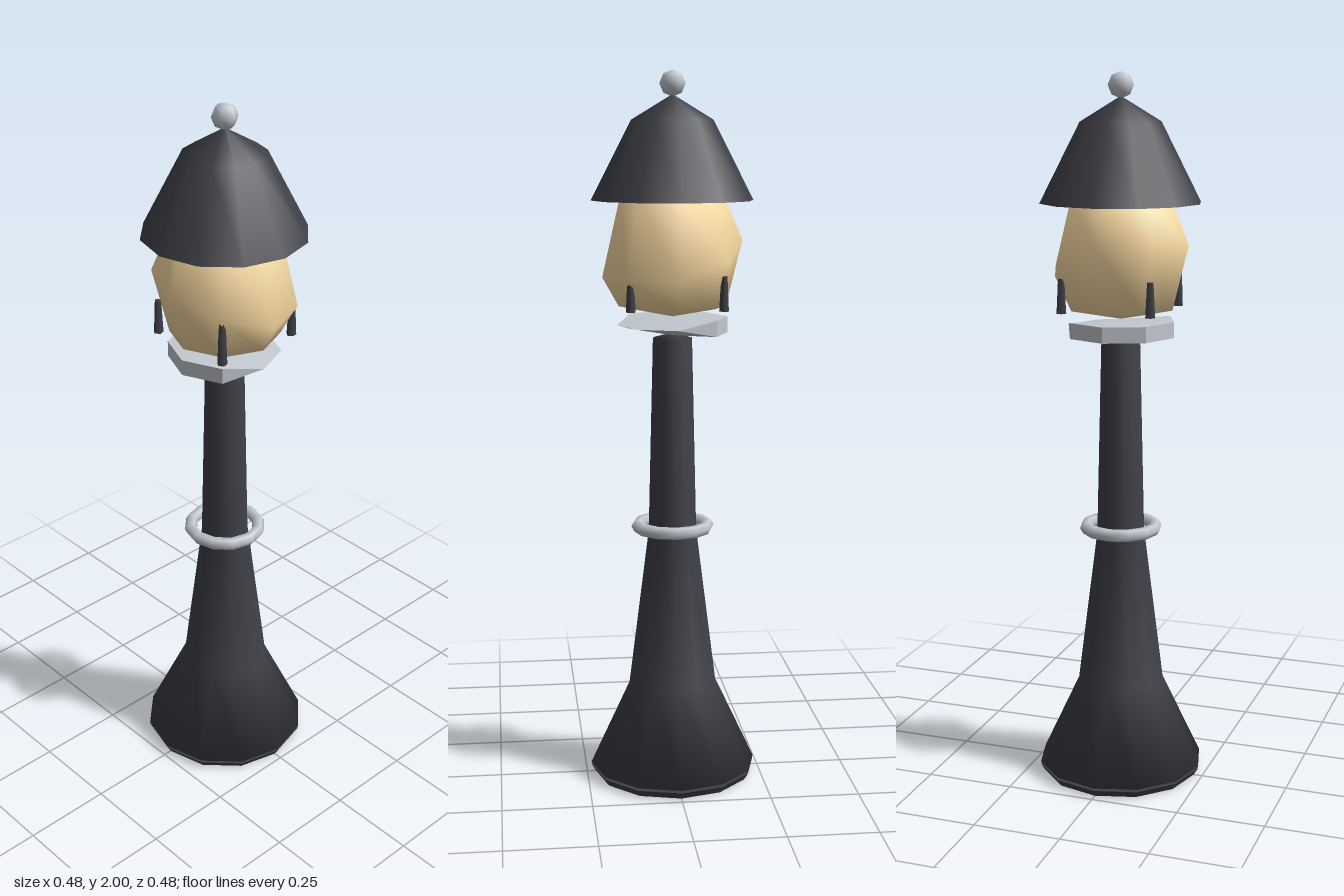
import * as THREE from 'three';
import { toCreasedNormals } from 'three/addons/utils/BufferGeometryUtils.js';

const dark = new THREE.MeshStandardMaterial({ color: 0x3f4047, side: THREE.DoubleSide });
const metal = new THREE.MeshStandardMaterial({ color: 0xc4c9d0 });
const glow = new THREE.MeshStandardMaterial({ color: 0xffdfa5 });

export function createModel() {
  const model = new THREE.Group();

  const add = (name, geometry, material) => {
    const mesh = new THREE.Mesh(geometry, material);
    mesh.name = name;
    model.add(mesh);
    return mesh;
  };

  const lathe = (points, sides) =>
    new THREE.LatheGeometry(points.map(([r, y]) => new THREE.Vector2(r, y)), sides);

  // Move each vertex height by a rule, then rebuild the normals
  const reshape = (geometry, rule, crease) => {
    const p = geometry.attributes.position;
    for (let i = 0; i < p.count; i++) p.setY(i, rule(p.getX(i), p.getY(i), p.getZ(i)));
    return toCreasedNormals(geometry, crease);
  };

  // Foot plate and flared post
  const plate = add('footPlate', new THREE.CylinderGeometry(0.237, 0.225, 0.02, 12), dark);
  plate.position.y = 0.01;
  add('post', lathe([
    [0, 0.026], [0.238, 0.028], [0.125, 0.27], [0.068, 0.72], [0.055, 1.27], [0, 1.285],
  ], 12), dark);

  // Ring halfway up the post
  const ring = add('postRing', new THREE.TorusGeometry(0.1, 0.018, 6, 12), metal);
  ring.rotation.x = Math.PI / 2;
  ring.position.y = 0.732;

  // Collar under the lamp, thinning to an edge towards +x and -z
  add('collar', reshape(
    lathe([[0, 1.277], [0.155, 1.284], [0.155, 1.328], [0, 1.33]], 8),
    (x, y, z) => (x - z > 0.1 ? 1.307 : y), 0.6), metal);

  // Lopsided glass globe: its widest ring dips towards +x and -z
  add('globe', reshape(
    lathe([[0, 1.33], [0.15, 1.36], [0.195, 1.49], [0.145, 1.66], [0, 1.75]], 8),
    (x, y, z) => (Math.abs(y - 1.49) < 0.01 ? y - 0.05 * THREE.MathUtils.clamp((x - z) * 6, -1, 1) : y),
    1.3), glow);

  // Four small upright brackets on the diagonals
  for (const sx of [-1, 1]) {
    for (const sz of [-1, 1]) {
      const height = sx > 0 && sz > 0 ? 0.135 : 0.095;
      const bracket = add('bracket', new THREE.CylinderGeometry(0.009, 0.014, height, 5), dark);
      bracket.position.set(sx * 0.127, 1.356 + height / 2, sz * 0.127);
    }
  }

  // Roof, open underneath
  add('roof', lathe([[0.225, 1.65], [0.113, 1.867], [0, 1.935]], 12), dark);

  // Ball on top of the roof
  const ball = add('finial', new THREE.SphereGeometry(0.036, 6, 4), metal);
  ball.position.y = 1.964;

  return model;
}
